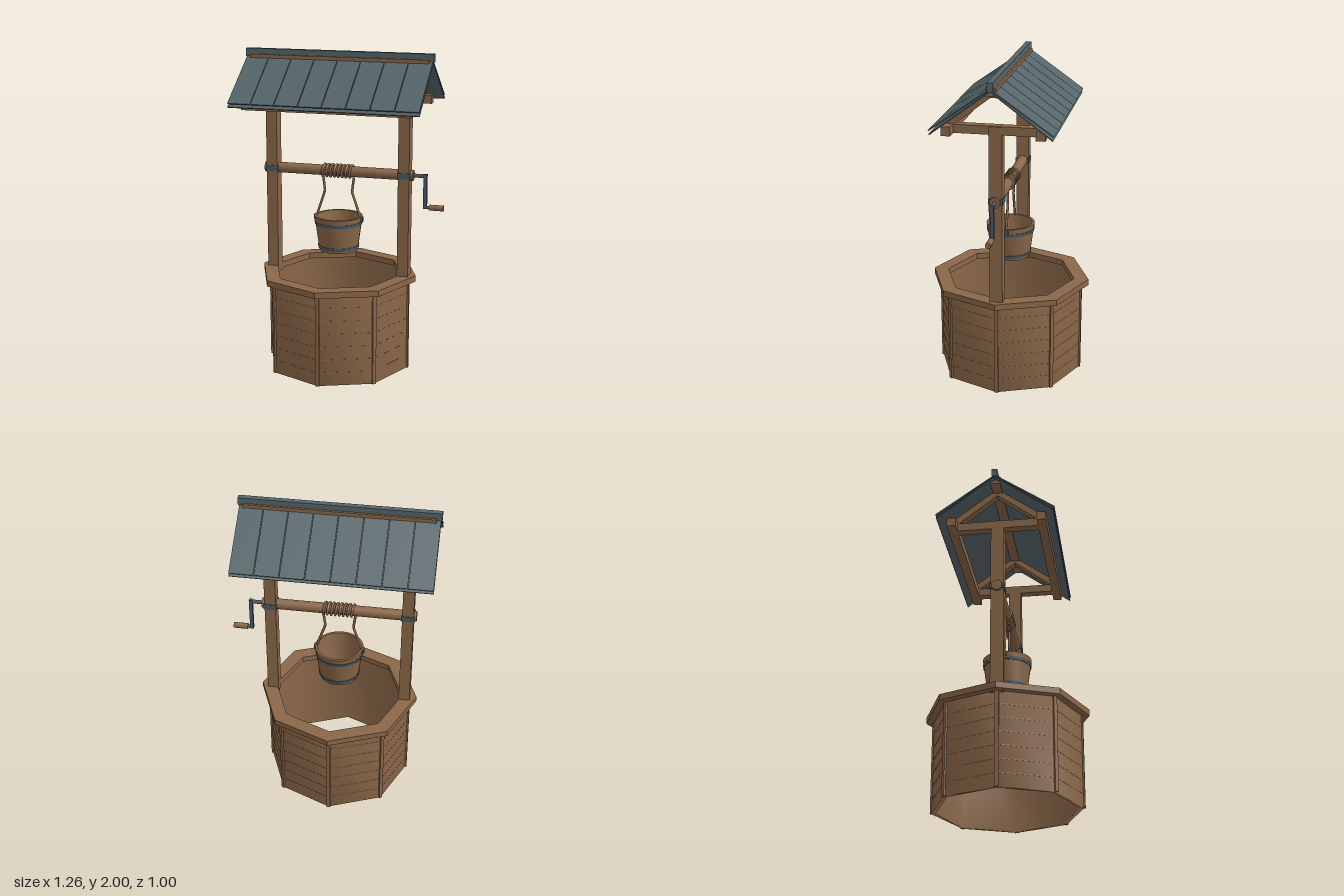
import * as THREE from 'three';
import { mergeVertices, toCreasedNormals } from 'three/addons/utils/BufferGeometryUtils.js';

const material = (name, color) => {
  const m = new THREE.MeshStandardMaterial({ color });
  m.name = name;
  return m;
};

export function createModel() {
  const wood = material('wood', 0x8a6748);
  const roofing = material('roofing', 0x55656a);
  const steel = material('steel', 0x4a5a66);
  const model = new THREE.Group();
  model.name = 'well';
  const CX = -0.04; // centre of the well shaft
  const postX = [-0.465, 0.385];

  const add = (name, geometry, mat, x = 0, y = 0, z = 0, parent = model) => {
    const mesh = new THREE.Mesh(geometry, mat);
    mesh.name = name;
    mesh.position.set(x, y, z);
    parent.add(mesh);
    return mesh;
  };
  const box = (name, mat, w, h, d, x, y, z) => add(name, new THREE.BoxGeometry(w, h, d), mat, x, y, z);
  // Rod lying along x
  const rod = (name, mat, r, x0, x1, y, sides = 20) => {
    const mesh = add(name, new THREE.CylinderGeometry(r, r, x1 - x0, sides), mat, (x0 + x1) / 2, y, 0);
    mesh.rotation.z = Math.PI / 2;
    return mesh;
  };
  // Board sloping in the zy plane between two points
  const slope = (name, mat, x, w, t, [z0, y0], [z1, y1]) => {
    const mesh = box(name, mat, w, t, Math.hypot(z1 - z0, y1 - y0), x, (y0 + y1) / 2, (z0 + z1) / 2);
    mesh.rotation.x = Math.atan2(y0 - y1, z1 - z0);
    return mesh;
  };
  const lathe = (points, sides) =>
    new THREE.LatheGeometry(points.map(([r, y]) => new THREE.Vector2(r, y)), sides);

  // Open octagonal shaft with soft shading
  const shaft = lathe([[0.43, 0], [0.455, 0], [0.455, 0.58], [0.43, 0.58], [0.43, 0]], 8);
  shaft.deleteAttribute('uv');
  shaft.deleteAttribute('normal');
  const softShaft = mergeVertices(shaft);
  softShaft.computeVertexNormals();
  add('shaftWall', softShaft, wood, CX);

  // Octagonal rim
  const rim = lathe([[0.41, 0.577], [0.502, 0.577], [0.502, 0.615], [0.41, 0.615], [0.41, 0.577]], 8);
  add('rim', toCreasedNormals(rim, 0.3), wood, CX);

  // Corner battens and plank lines
  for (let i = 0; i < 8; i++) {
    const a = (i * Math.PI) / 4;
    const batten = box('cornerBatten', wood, 0.024, 0.578, 0.018,
      CX + Math.sin(a) * 0.452, 0.289, Math.cos(a) * 0.452);
    batten.rotation.y = a;
    const b = a + Math.PI / 8;
    for (let j = 1; j <= 6; j++) {
      const line = box('plankLine', wood, 0.33, 0.006, 0.004,
        CX + Math.sin(b) * 0.4195, j * 0.083, Math.cos(b) * 0.4195);
      line.rotation.y = b;
    }
  }

  // Posts, tie beams, rafters and axle collars
  for (const x of postX) {
    box('post', wood, 0.07, 1.14, 0.08, x, 1.14, 0);
    box('tieBeam', wood, 0.055, 0.052, 0.55, x, 1.687, 0);
    box('axleCollar', steel, 0.08, 0.036, 0.088, x, 1.255, 0);
    for (const s of [-1, 1]) slope('rafter', wood, x, 0.05, 0.04, [0, 1.925], [s * 0.285, 1.705]);
  }

  // Eave beams, ridge beam and ridge cap
  for (const s of [-1, 1]) box('eaveBeam', wood, 1.05, 0.055, 0.055, -0.035, 1.688, s * 0.277);
  box('ridgeBeam', wood, 1.13, 0.05, 0.06, -0.035, 1.94, 0);
  box('ridgeCap', roofing, 1.19, 0.05, 0.034, -0.038, 1.975, 0);

  // Roof: a lower sheet and eight panels with fine gaps on each side
  const roofX0 = -0.627, panelW = 0.1472;
  for (const s of [-1, 1]) {
    slope('roofSheet', roofing, -0.038, 1.177, 0.007, [0, 1.948], [s * 0.358, 1.682]);
    for (let i = 0; i < 8; i++) {
      slope('roofPanel', roofing, roofX0 + (i + 0.5) * panelW, panelW - 0.004, 0.007,
        [0, 1.96], [s * 0.362, 1.705]);
    }
  }

  // Axle and crank
  rod('axle', wood, 0.033, -0.517, 0.44, 1.255);
  rod('crankShaft', steel, 0.012, 0.43, 0.525, 1.255, 12);
  box('crankArm', steel, 0.022, 0.215, 0.022, 0.514, 1.16, 0);
  rod('crankPin', steel, 0.01, 0.51, 0.56, 1.06, 12);
  rod('crankHandle', wood, 0.018, 0.54, 0.63, 1.06, 14);

  // Rope: coil on the axle and two hanging ends
  const turns = 8, coil = [];
  for (let i = 0; i <= turns * 12; i++) {
    const a = (i / 12) * Math.PI * 2;
    coil.push(new THREE.Vector3(-0.14 + (0.2 * i) / (turns * 12),
      1.255 - Math.cos(a) * 0.038, Math.sin(a) * 0.038));
  }
  add('ropeCoil', new THREE.TubeGeometry(new THREE.CatmullRomCurve3(coil), 192, 0.008, 6), wood);
  for (const s of [-1, 1]) {
    const path = new THREE.CurvePath();
    const p = [[0.1, 1.22], [0.088, 1.125], [0.145, 0.955]]
      .map(([x, y]) => new THREE.Vector3(CX + s * x, y, 0));
    path.add(new THREE.LineCurve3(p[0], p[1]));
    path.add(new THREE.LineCurve3(p[1], p[2]));
    add('rope', new THREE.TubeGeometry(path, 24, 0.008, 8), wood);
    box('bucketEar', steel, 0.018, 0.03, 0.03, CX + s * 0.15, 0.953, 0);
  }

  // Hollow bucket with two hoops
  const bucket = lathe([[0, 0.75], [0.122, 0.75], [0.152, 0.97], [0.136, 0.97], [0.108, 0.77], [0, 0.77]], 28);
  add('bucket', toCreasedNormals(bucket, 0.6), wood, CX);
  for (const y of [0.765, 0.918]) {
    const r = 0.126 + (y - 0.75) * 0.136;
    const hoop = lathe([[r - 0.01, y], [r, y], [r + 0.003, y + 0.02], [r - 0.007, y + 0.02]], 28);
    add('bucketHoop', toCreasedNormals(hoop, 0.6), steel, CX);
  }
  return model;
}
